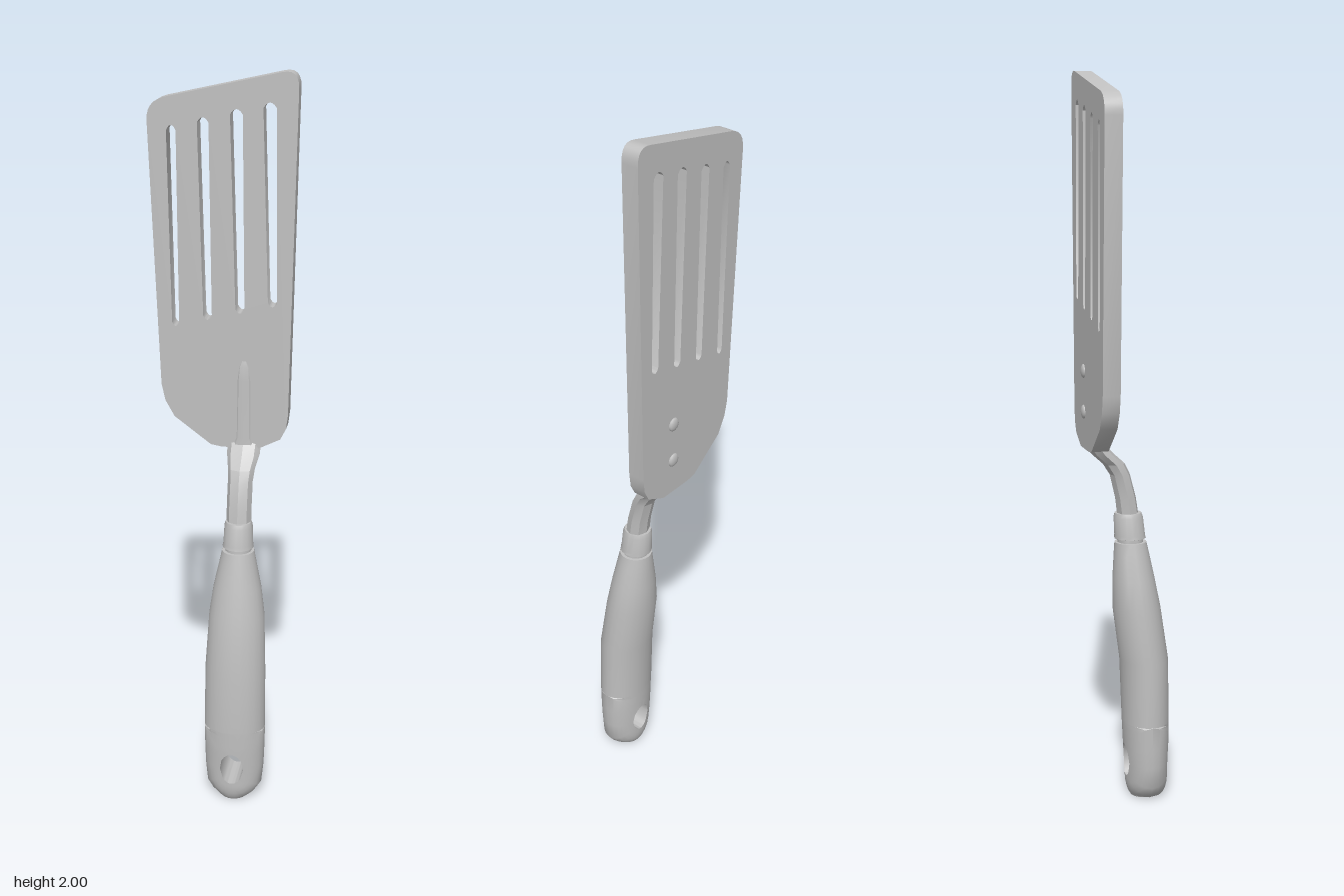
import * as THREE from 'three';
import { toCreasedNormals } from 'three/addons/utils/BufferGeometryUtils.js';

const CX = 0.06; // handle axis
const FRONT = -0.07, BACK = -0.117; // blade faces

// Skin a grid of points; columns always wrap, rows wrap on request
function skin(rows, wrapRows, crease) {
  const n = rows[0].length, m = rows.length, idx = [];
  for (let i = 0; i < (wrapRows ? m : m - 1); i++) {
    for (let j = 0; j < n; j++) {
      const a = i * n + j, b = i * n + (j + 1) % n;
      const c = ((i + 1) % m) * n + j, d = ((i + 1) % m) * n + (j + 1) % n;
      idx.push(a, c, b, b, c, d);
    }
  }
  const g = new THREE.BufferGeometry();
  g.setAttribute('position', new THREE.Float32BufferAttribute(rows.flat(2), 3));
  g.setIndex(idx);
  return toCreasedNormals(g.toNonIndexed(), crease);
}

// Closed loft through elliptical rings [y, z, half width, half depth]
function loft(rings, sides, crease) {
  const first = rings[0], last = rings[rings.length - 1];
  const all = [[first[0], first[1], 0, 0], ...rings, [last[0], last[1], 0, 0]];
  return skin(all.map(([y, z, w, d]) => Array.from({ length: sides }, (_, j) => {
    const a = (j / sides) * Math.PI * 2;
    return [CX + w * Math.cos(a), y, z + d * Math.sin(a)];
  })), false, crease);
}

// Handle sections: [y, z, half width, half depth]
const grip = [
  [0, 0.057, 0.04, 0.044], [0.015, 0.057, 0.06, 0.053], [0.04, 0.057, 0.077, 0.058],
  [0.1, 0.056, 0.083, 0.06], [0.16, 0.056, 0.085, 0.063], [0.22, 0.055, 0.086, 0.065],
  [0.4, 0.05, 0.084, 0.067], [0.55, 0.029, 0.077, 0.066], [0.63, 0.021, 0.066, 0.058],
  [0.7, 0.015, 0.051, 0.049], [0.735, 0.012, 0.044, 0.044],
];
function section(y) {
  let i = 0;
  while (i < grip.length - 2 && y > grip[i + 1][0]) i++;
  const t = (y - grip[i][0]) / (grip[i + 1][0] - grip[i][0]);
  return grip[i].map((v, k) => v + (grip[i + 1][k] - v) * t);
}

// Handle end: rings spread from the hanging hole to the silhouette, front then back
function handleEnd() {
  const low = grip.slice(0, 6), outline = [];
  const steps = [-0.75, -0.5, -0.25, 0, 0.25, 0.5, 0.75];
  low.forEach(([y, , w]) => outline.push([-w, y]));
  steps.forEach((s) => outline.push([s * low[5][2], low[5][0]]));
  [...low].reverse().forEach(([y, , w]) => outline.push([w, y]));
  steps.forEach((s) => outline.push([-s * low[0][2], low[0][0]]));
  const spread = [0, 0.2, 0.4, 0.6, 0.8, 0.93, 1];
  const rows = outline.map(([ox, oy]) => {
    const a = Math.atan2(oy - 0.105, ox);
    const hx = 0.033 * Math.cos(a), hy = 0.105 + 0.047 * Math.sin(a);
    const side = (s, sign) => {
      const x = hx + (ox - hx) * s, y = hy + (oy - hy) * s;
      const [, z, w, d] = section(y);
      return [CX + x, y, z + sign * d * Math.sqrt(Math.max(0, 1 - (x / w) ** 2))];
    };
    return [...spread.map((s) => side(s, 1)), ...[...spread].reverse().map((s) => side(s, -1))];
  });
  return skin(rows, true, 0.7);
}

// Blade outline with four tapered slots
function blade() {
  const s = new THREE.Shape();
  s.moveTo(0, 1);
  [[0.1, 1], [0.16, 1.03], [0.175, 1.06], [0.18, 1.1], [0.194, 1.955]].forEach((p) => s.lineTo(...p));
  s.quadraticCurveTo(0.195, 2.007, 0.15, 1.996);
  s.lineTo(-0.15, 1.93);
  s.quadraticCurveTo(-0.197, 1.918, -0.195, 1.87);
  [[-0.165, 1.17], [-0.155, 1.125], [-0.13, 1.08], [-0.03, 1.005]].forEach((p) => s.lineTo(...p));
  s.closePath();
  // Slots: [top left, top right, bottom left, bottom right, bottom y, top y]
  [
    [-0.145, -0.12, -0.134, -0.115, 1.332, 1.862], [-0.065, -0.035, -0.05, -0.027, 1.353, 1.883],
    [0.02, 0.053, 0.036, 0.06, 1.374, 1.905], [0.105, 0.139, 0.122, 0.146, 1.395, 1.923],
  ].forEach(([tl, tr, bl, br, y0, y1]) => {
    const h = new THREE.Path();
    h.moveTo(bl, y0 + 0.012);
    h.lineTo(tl, y1 - 0.015);
    h.quadraticCurveTo((tl + tr) / 2, y1 + 0.012, tr, y1 - 0.015);
    h.lineTo(br, y0 + 0.012);
    h.quadraticCurveTo((bl + br) / 2, y0 - 0.01, bl, y0 + 0.012);
    s.holes.push(h);
  });
  const g = new THREE.ExtrudeGeometry(s, { depth: FRONT - BACK, bevelEnabled: false, curveSegments: 6 });
  return toCreasedNormals(g.translate(0, 0, BACK), 0.6);
}

export function createModel() {
  const model = new THREE.Group();
  const grey = new THREE.MeshStandardMaterial({ color: 0xc0c0c0 });
  grey.name = 'plain grey';
  const add = (name, geometry) => {
    const mesh = new THREE.Mesh(geometry, grey);
    mesh.name = name;
    model.add(mesh);
    return mesh;
  };

  add('blade', blade());
  add('handleEnd', handleEnd());
  add('handleGrip', loft(grip.slice(5), 24, 0.7));

  // Collar above a narrow groove
  add('collar', loft([
    [0.73, 0.012, 0.036, 0.036], [0.744, 0.011, 0.036, 0.036], [0.746, 0.011, 0.043, 0.044],
    [0.755, 0.01, 0.041, 0.043], [0.805, 0.006, 0.039, 0.041], [0.817, 0.005, 0.035, 0.037],
  ], 16, 0.6));

  // Cranked neck
  add('neck', loft([
    [0.8, 0.006, 0.034, 0.03], [0.86, -0.002, 0.034, 0.029], [0.925, -0.018, 0.034, 0.028],
    [0.955, -0.035, 0.037, 0.03], [0.985, -0.068, 0.045, 0.03], [1.015, -0.09, 0.046, 0.026],
  ], 8, 0.3));

  // Tang lying on the blade front
  add('tang', loft([
    [0.99, -0.076, 0.04, 0.016], [1.03, -0.074, 0.022, 0.012], [1.19, -0.073, 0.02, 0.009],
    [1.23, -0.073, 0.015, 0.007], [1.245, -0.073, 0.007, 0.004],
  ], 8, 0.5));

  // Rivets on the blade back
  for (const y of [1.1, 1.21]) {
    const rivet = add('rivet', new THREE.SphereGeometry(0.019, 10, 8));
    rivet.scale.z = 0.4;
    rivet.position.set(CX, y, BACK);
  }
  return model;
}
